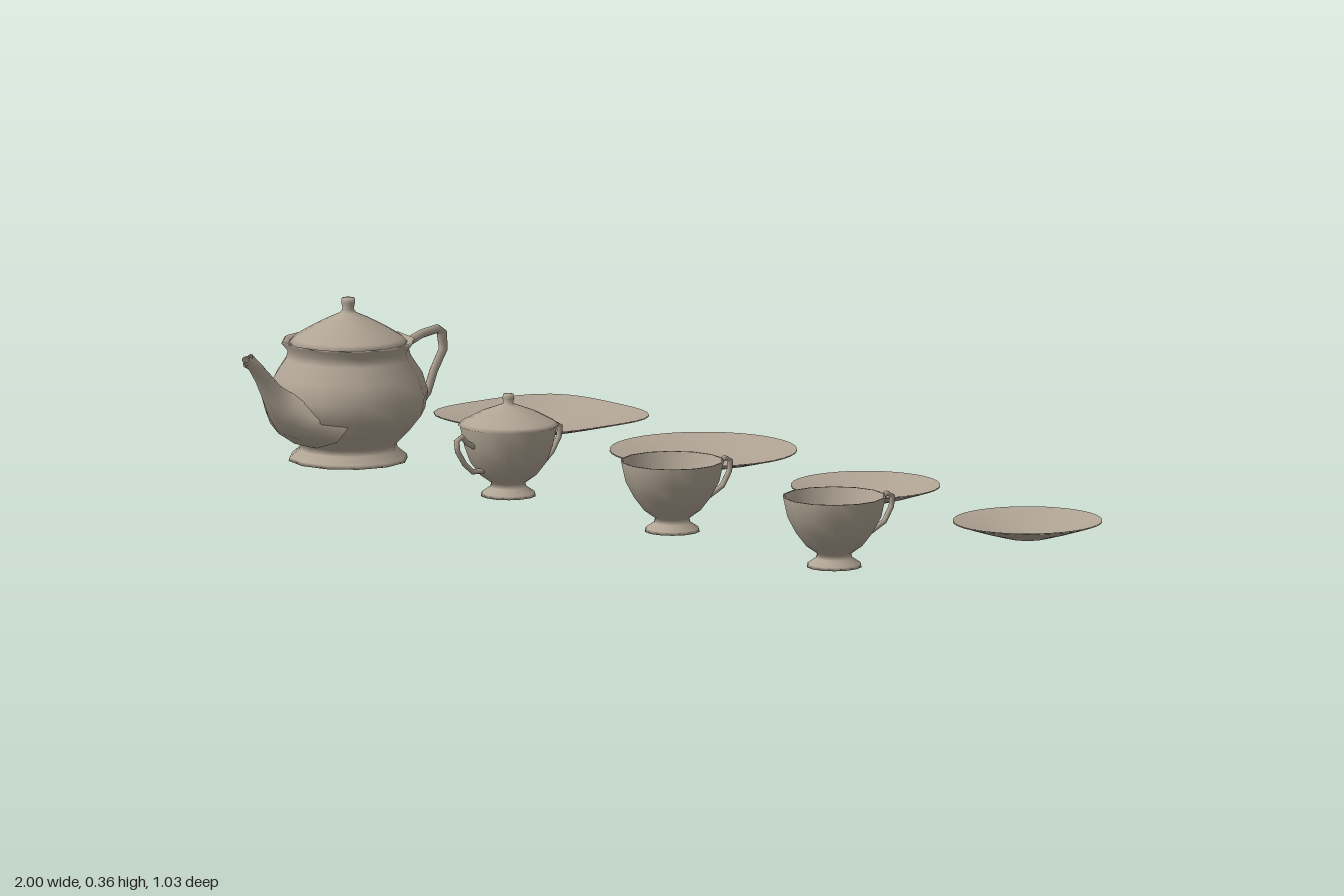
import * as THREE from 'three';

const porcelain = new THREE.MeshStandardMaterial({ color: 0xb0a494, side: THREE.DoubleSide });
porcelain.name = 'porcelain';

function mesh(name, geometry) {
  const m = new THREE.Mesh(geometry, porcelain);
  m.name = name;
  return m;
}

// Turned part from [radius, height] pairs
function turned(name, profile, sides) {
  return mesh(name, new THREE.LatheGeometry(profile.map(([r, y]) => new THREE.Vector2(r, y)), sides));
}

// Oval tube swept in the z/y plane; each section is [z, y, half thickness, half width]
function swept(name, sections, sides = 8) {
  const pos = [], idx = [];
  sections.forEach(([z, y, rn, rx], i) => {
    const a = sections[Math.max(i - 1, 0)], b = sections[Math.min(i + 1, sections.length - 1)];
    const t = new THREE.Vector2(b[0] - a[0], b[1] - a[1]).normalize();
    for (let j = 0; j < sides; j++) {
      const ang = (j / sides) * Math.PI * 2, s = Math.sin(ang) * rn;
      pos.push(Math.cos(ang) * rx, y + t.x * s, z - t.y * s);
      if (i < sections.length - 1) {
        const p = i * sides + j, q = i * sides + ((j + 1) % sides);
        idx.push(p, q, p + sides, q, q + sides, p + sides);
      }
    }
  });
  const g = new THREE.BufferGeometry();
  g.setAttribute('position', new THREE.Float32BufferAttribute(pos, 3));
  g.setIndex(idx);
  g.computeVertexNormals();
  return mesh(name, g);
}

function group(name, x, z, ...parts) {
  const g = new THREE.Group();
  g.name = name;
  g.position.set(x, 0, z);
  g.add(...parts);
  return g;
}

// Shallow dish; squareness above 2 pushes the outline towards a rounded square
function dish(name, x, r, squareness = 2) {
  const profile = [[0, 0.003], [0.3 * r, 0.003], [0.65 * r, 0.019], [r, 0.037], [r, 0.04],
    [0.72 * r, 0.026], [0.35 * r, 0.014], [0, 0.012]];
  const plate = turned(name, profile, 40);
  const p = plate.geometry.attributes.position;
  for (let i = 0; i < p.count; i++) {
    const px = p.getX(i), pz = p.getZ(i), d = Math.hypot(px, pz);
    if (d < 1e-6) continue;
    const k = Math.pow(Math.abs(px / d) ** squareness + Math.abs(pz / d) ** squareness, -1 / squareness);
    p.setX(i, px * k);
    p.setZ(i, pz * k);
  }
  plate.geometry.computeVertexNormals();
  plate.position.set(x, 0, -0.32);
  return plate;
}

// Footed bowl shared by the cups and the sugar bowl
function bowl(name, r) {
  return turned(name, [[0, 0.012], [0.03, 0.01], [0.06, 0.003], [0.058, 0.01], [0.04, 0.022], [0.037, 0.032],
    [0.062, 0.05], [0.085, 0.08], [0.97 * r - 0.006, 0.115], [r, 0.157], [r - 0.005, 0.157],
    [0.97 * r - 0.012, 0.115], [0.078, 0.08], [0.055, 0.055], [0, 0.045]], 14);
}

// Small ear handle pointing backwards, reaching out to the given distance
function earHandle(reach) {
  return swept('handle', [[-0.09, 0.118, 0.006, 0.006], [-0.115, 0.13, 0.006, 0.006],
    [-reach + 0.02, 0.146, 0.006, 0.006], [-reach + 0.005, 0.138, 0.006, 0.007],
    [-reach + 0.008, 0.115, 0.006, 0.006], [-reach + 0.028, 0.085, 0.006, 0.006],
    [-0.1, 0.066, 0.006, 0.006], [-0.07, 0.065, 0.006, 0.006]]);
}

function teapot() {
  const body = turned('body', [[0, 0.012], [0.09, 0.012], [0.13, 0.004], [0.128, 0.012], [0.108, 0.028],
    [0.105, 0.04], [0.14, 0.075], [0.168, 0.11], [0.175, 0.15], [0.162, 0.19], [0.137, 0.228],
    [0.132, 0.245], [0.146, 0.262], [0.142, 0.266], [0.126, 0.258], [0.12, 0.24]], 12);
  const lid = turned('lid', [[0.118, 0.25], [0.128, 0.262], [0.118, 0.272], [0.085, 0.292], [0.045, 0.313],
    [0.018, 0.325], [0.012, 0.333], [0.015, 0.348], [0.014, 0.357], [0, 0.359]], 20);
  const spout = swept('spout', [[0.1, 0.1, 0.06, 0.12], [0.155, 0.12, 0.05, 0.075], [0.19, 0.145, 0.035, 0.042],
    [0.215, 0.175, 0.024, 0.026], [0.24, 0.21, 0.018, 0.018], [0.265, 0.24, 0.014, 0.013],
    [0.287, 0.256, 0.008, 0.012]], 10);
  // Flared pouring lip
  const lip = swept('spoutLip', [[0.25, 0.225, 0.015, 0.015], [0.268, 0.243, 0.014, 0.012],
    [0.281, 0.253, 0.017, 0.011]], 10);
  const handle = swept('handle', [[-0.125, 0.225, 0.011, 0.009], [-0.155, 0.236, 0.011, 0.009],
    [-0.205, 0.254, 0.01, 0.009], [-0.25, 0.26, 0.01, 0.009], [-0.263, 0.25, 0.012, 0.011],
    [-0.266, 0.213, 0.01, 0.009], [-0.24, 0.17, 0.01, 0.008], [-0.222, 0.125, 0.01, 0.008],
    [-0.175, 0.08, 0.011, 0.009], [-0.13, 0.068, 0.011, 0.009]]);
  return group('teapot', -0.8, 0.22, body, lid, spout, lip, handle);
}

function sugarBowl() {
  const lid = turned('lid', [[0.1, 0.153], [0.109, 0.158], [0.1, 0.165], [0.06, 0.186], [0.022, 0.2],
    [0.01, 0.205], [0.013, 0.216], [0.011, 0.225], [0, 0.227]], 20);
  const front = earHandle(0.15);
  front.rotation.y = Math.PI;
  return group('sugarBowl', -0.255, 0.225, bowl('bowl', 0.107), lid, earHandle(0.15), front);
}

export function createModel() {
  const model = new THREE.Group();
  model.name = 'teaSet';
  model.add(teapot(), sugarBowl());

  // Serving plates
  model.add(dish('squarePlate', -0.798, 0.202, 3.4), dish('roundPlate', -0.253, 0.202));

  // Two cups with matching saucers
  for (const x of [0.293, 0.838]) {
    model.add(dish('saucer', x, 0.161));
    model.add(group('cup', x, 0.222, bowl('bowl', 0.113), earHandle(0.168)));
  }
  return model;
}
